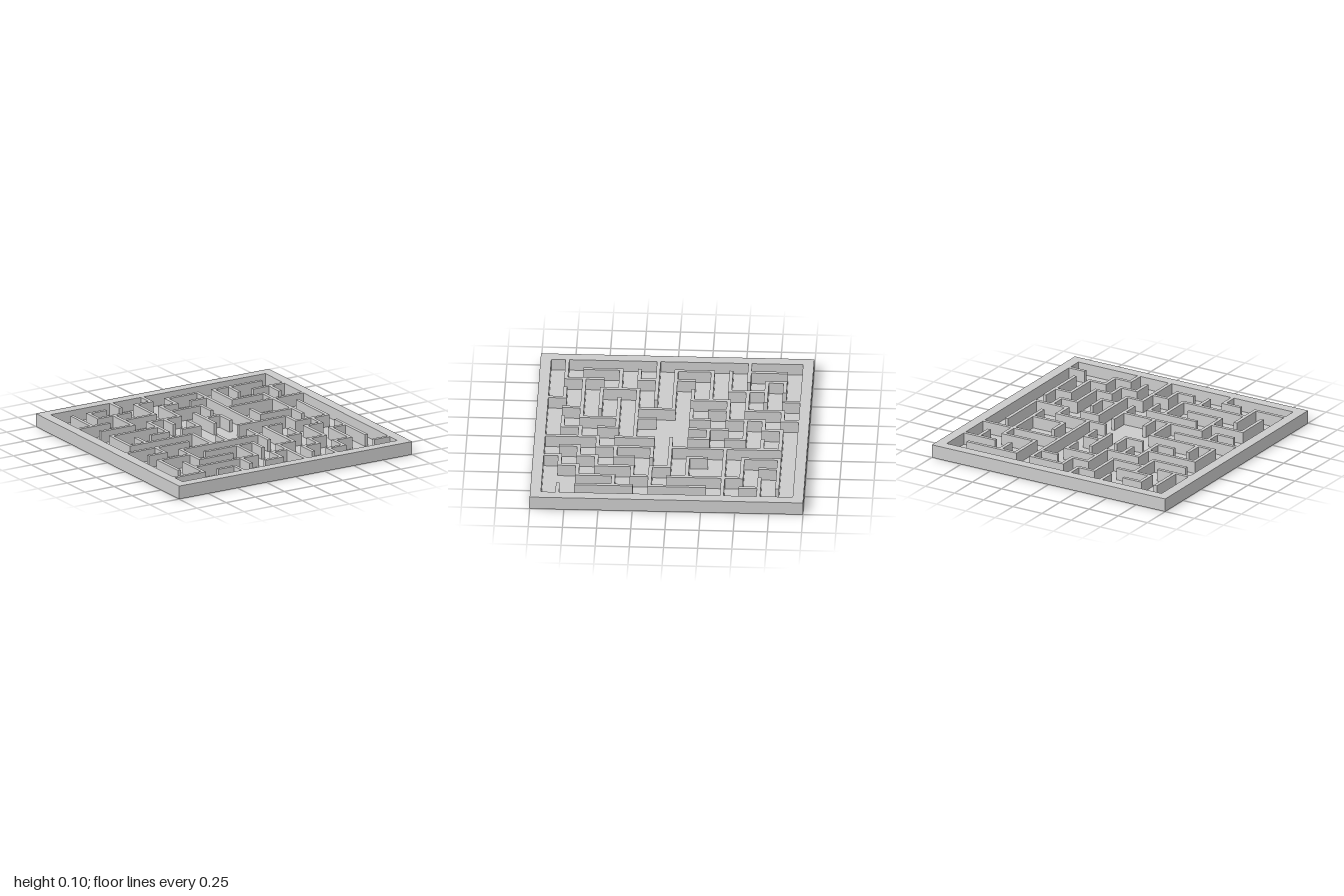
import * as THREE from 'three';

const STEP = 0.1337;   // spacing of the maze grid
const HALF = 0.0135;   // half of a wall's thickness
const INNER = 0.921;   // inner face of the frame
const HEIGHT = 0.1;
const FLOOR = 0.01;

// Walls along x: row, then start and end columns
const rows = [
  [-6, -5, -4], [-6, -2, -1], [-6, 0, 2], [-6, 3, 6],
  [-5, -5, -3], [-5, -1, 0], [-5, 1, 2], [-5, 5, 7],
  [-4, -7, -5], [-4, -4, -2], [-4, -1, 1], [-4, 3, 5],
  [-3, -6, -4], [-3, -3, -1], [-3, 2, 7],
  [-2, -6, -3], [-2, 0, 1],
  [-1, -4, -3], [-1, -2, -1], [-1, 3, 5],
  [0, -6, -2], [0, 1, 4],
  [1, -7, -3], [1, 2, 3], [1, 4, 6],
  [2, -6, -5], [2, -4, 1], [2, 4, 5],
  [3, -6, -4], [3, -3, 0], [3, 2, 3], [3, 5, 6],
  [4, -4, -2], [4, 1, 2], [4, 3, 4],
  [5, -5, -1], [5, 0, 1], [5, 2, 3], [5, 4, 5],
  [6, -7, -5], [6, -4, -3], [6, -1, 0], [6, 3, 4], [6, 6, 7],
];

// Walls along z: column, then start and end rows
const columns = [
  [-6, -6, -4], [-6, -2, 0], [-6, 3, 5],
  [-5, -6, -5], [-5, -1, 0], [-5, 1, 2], [-5, 4, 6],
  [-4, -5, -3], [-4, 2, 4],
  [-3, -7, -6], [-3, -3, -1], [-3, 6, 7],
  [-2, -6, -4], [-2, -3, -2], [-2, 0, 2], [-2, 5, 6],
  [-1, -7, -6], [-1, -5, -3], [-1, -2, -1], [-1, 1, 2], [-1, 3, 5],
  [0, -6, -5], [0, -3, -1], [0, 3, 4], [0, 5, 6],
  [1, -4, -3], [1, -2, -1], [1, 1, 3], [1, 4, 7],
  [2, -6, 0], [2, 1, 4], [2, 5, 6],
  [3, -6, -4], [3, -2, -1], [3, 2, 3], [3, 4, 5], [3, 6, 7],
  [4, -6, -5], [4, 0, 1], [4, 2, 4], [4, 5, 6],
  [5, -4, 0], [5, 1, 2], [5, 3, 5],
  [6, -5, -4], [6, -2, 1], [6, 2, 5],
];

function square(half, Type) {
  return new Type([[-half, -half], [half, -half], [half, half], [-half, half]]
    .map(([x, y]) => new THREE.Vector2(x, y)));
}

export function createModel() {
  const model = new THREE.Group();
  model.name = 'maze';
  const material = new THREE.MeshStandardMaterial({ color: 0xcccccc });

  const add = (name, geometry, parent = model) => {
    const mesh = new THREE.Mesh(geometry, material);
    mesh.name = name;
    parent.add(mesh);
    return mesh;
  };

  // Outer frame
  const outline = square(1, THREE.Shape);
  outline.holes.push(square(INNER, THREE.Path));
  const frame = new THREE.ExtrudeGeometry(outline, { depth: HEIGHT, bevelEnabled: false });
  add('frame', frame.rotateX(-Math.PI / 2));

  // Thin floor inside the frame
  const floor = new THREE.BoxGeometry(2 * INNER, FLOOR, 2 * INNER);
  add('floor', floor.translate(0, FLOOR / 2, 0));

  // Maze walls, stopping at the frame
  const walls = new THREE.Group();
  walls.name = 'walls';
  model.add(walls);
  const wall = (name, [line, from, to], alongX) => {
    const start = Math.max(from * STEP - HALF, -INNER);
    const end = Math.min(to * STEP + HALF, INNER);
    const length = end - start, middle = (start + end) / 2;
    const height = HEIGHT - FLOOR;
    const mesh = add(name, alongX
      ? new THREE.BoxGeometry(length, height, 2 * HALF)
      : new THREE.BoxGeometry(2 * HALF, height, length), walls);
    const y = FLOOR + height / 2;
    if (alongX) mesh.position.set(middle, y, line * STEP);
    else mesh.position.set(line * STEP, y, middle);
  };
  rows.forEach((r) => wall('rowWall', r, true));
  columns.forEach((c) => wall('columnWall', c, false));

  return model;
}
